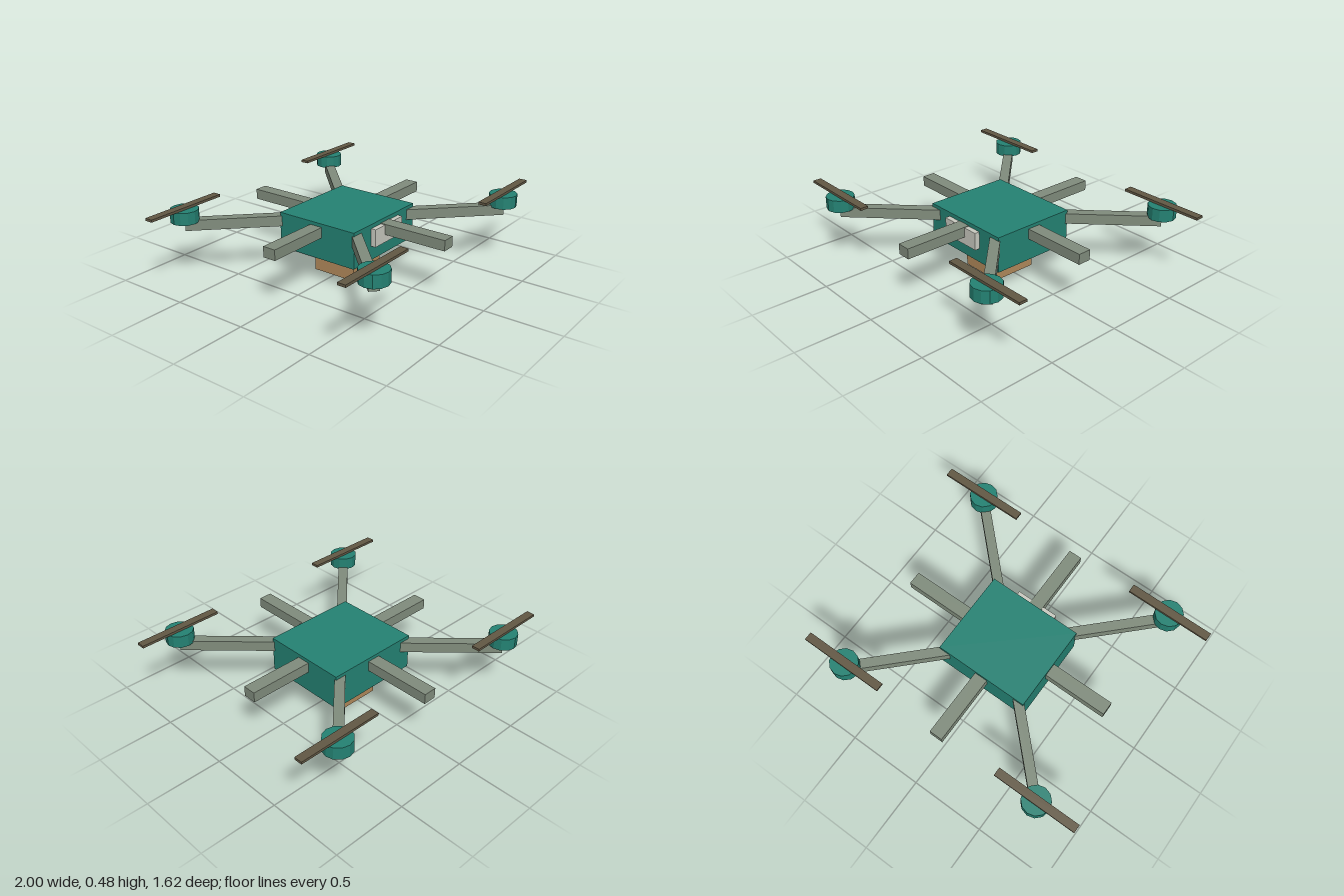
import * as THREE from 'three';

const material = (name, color) => {
  const m = new THREE.MeshStandardMaterial({ color, flatShading: true });
  m.name = name;
  return m;
};

export function createModel() {
  const model = new THREE.Group();
  model.name = 'deliveryDrone';

  const teal = material('teal', 0x248273);
  const greyGreen = material('greyGreen', 0x808c7c);
  const brown = material('darkBrown', 0x625844);
  const tan = material('cardboard', 0xb0885a);
  const pale = material('paleGrey', 0xc9cac0);

  const add = (name, geometry, mat, x, y, z) => {
    const mesh = new THREE.Mesh(geometry, mat);
    mesh.name = name;
    mesh.position.set(x, y, z);
    model.add(mesh);
    return mesh;
  };

  // Body, front panel and the parcel hanging below
  add('body', new THREE.BoxGeometry(0.636, 0.235, 0.574), teal, 0, 0.3, 0);
  add('frontPanel', new THREE.BoxGeometry(0.286, 0.115, 0.06), pale, 0, 0.333, 0.29);
  add('parcel', new THREE.BoxGeometry(0.286, 0.167, 0.308), tan, 0, 0.0835, 0);

  // Horizontal arm reaching out from inside the body at a given heading
  const addArm = (name, angle, start, end, width) => {
    const geometry = new THREE.BoxGeometry(end - start, 0.068, width);
    geometry.translate((start + end) / 2, 0, 0);
    add(name, geometry, greyGreen, 0, 0.361, 0).rotation.y = angle;
  };

  // Four short straight arms
  for (let i = 0; i < 4; i++) addArm('straightArm', i * Math.PI / 2, 0.2, 0.743, 0.088);

  // Four diagonal arms, each with a motor and a propeller
  const motor = new THREE.CylinderGeometry(0.091, 0.091, 0.081, 12);
  const blade = new THREE.BoxGeometry(0.564, 0.016, 0.054);
  const r = 0.718;
  for (let i = 0; i < 4; i++) {
    const angle = Math.PI / 4 + i * Math.PI / 2;
    const x = r * Math.sign(Math.cos(angle));
    const z = -r * Math.sign(Math.sin(angle));
    addArm('motorArm', angle, 0.3, r * Math.SQRT2, 0.064);
    add('motor', motor, teal, x, 0.424, z);
    add('propeller', blade, brown, x, 0.474, z);
  }
  return model;
}
